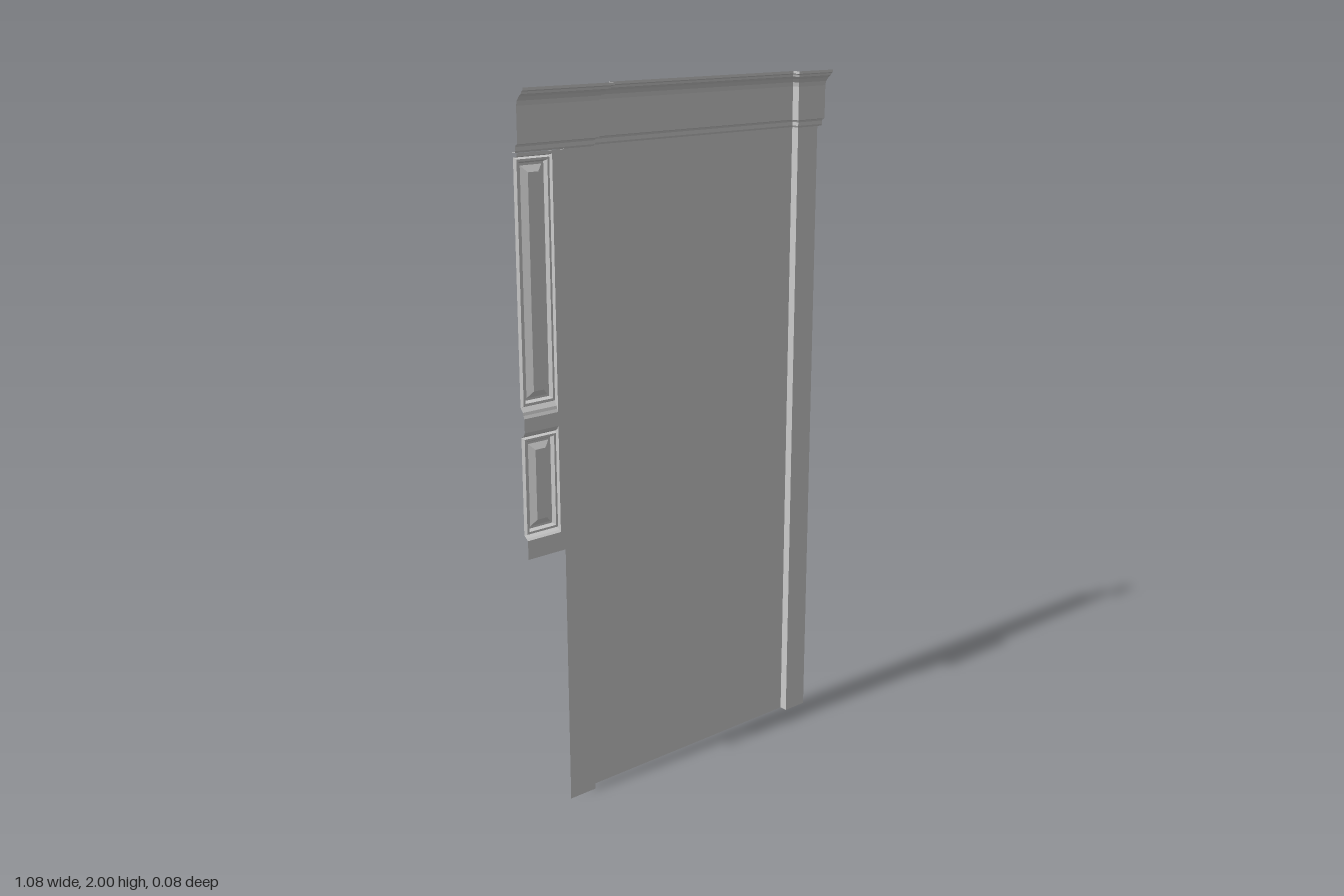
import * as THREE from 'three';

const material = new THREE.MeshStandardMaterial({ color: 0xcccccc, side: THREE.DoubleSide, flatShading: true });

// Flat-shaded sheet through rows of [x, y, z]; rows run left to right and stack upwards.
function loft(name, rows) {
  const n = rows[0].length, index = [];
  for (let r = 0; r < rows.length - 1; r++) {
    for (let i = 0; i < n - 1; i++) {
      const a = r * n + i, b = a + n;
      index.push(a, a + 1, b + 1, a, b + 1, b);
    }
  }
  const indexed = new THREE.BufferGeometry();
  indexed.setAttribute('position', new THREE.Float32BufferAttribute(rows.flat(2), 3));
  indexed.setIndex(index);
  const geometry = indexed.toNonIndexed();
  geometry.computeVertexNormals();
  const mesh = new THREE.Mesh(geometry, material);
  mesh.name = name;
  return mesh;
}

// Plan of the wall with its recessed centre, pushed forward by d with mitred corners.
const SIDE_Z = -0.02, CENTRE_Z = -0.044, EDGE = 0.538;
const plan = (start, y, d) => [
  [start, y, SIDE_Z + d], [-0.31 + d, y, SIDE_Z + d], [-0.31 + d, y, CENTRE_Z + d],
  [0.46 - d, y, CENTRE_Z + d], [0.46 - d, y, SIDE_Z + d], [EDGE, y, SIDE_Z + d],
];

// Horizontal strip with a [y, z] profile.
const strip = (name, x0, x1, profile) =>
  loft(name, profile.map(([y, z]) => [[x0, y, z], [x1, y, z]]));

// Raised-and-fielded panel made of concentric rectangles [inset, z].
function panel(name, x0, x1, y0, y1) {
  const group = new THREE.Group();
  group.name = name;
  const rings = [[0, -0.012], [0.004, -0.003], [0.010, -0.003], [0.015, -0.014], [0.021, -0.014], [0.038, -0.004]];
  group.add(loft(name + 'Moulding', rings.map(([s, z]) => [
    [x0 + s, y0 + s, z], [x1 - s, y0 + s, z], [x1 - s, y1 - s, z], [x0 + s, y1 - s, z], [x0 + s, y0 + s, z],
  ])));
  const [s, z] = rings[rings.length - 1];
  const field = new THREE.Mesh(new THREE.PlaneGeometry(x1 - x0 - 2 * s, y1 - y0 - 2 * s), material);
  field.position.set((x0 + x1) / 2, (y0 + y1) / 2, z);
  field.name = name + 'Field';
  group.add(field);
  return group;
}

export function createModel() {
  const model = new THREE.Group();
  model.name = 'wallSection';

  // Wall sheet with recessed centre
  model.add(loft('wall', [plan(-0.398, 0, 0), plan(-0.398, 1.84, 0)]));

  // Cornice: soffit, bead, frieze and flared crown
  const cornice = [
    [0, 1.84], [0.016, 1.84], [0.019, 1.845], [0.019, 1.855], [0.022, 1.86], [0.028, 1.862],
    [0.028, 1.955], [0.031, 1.967], [0.039, 1.977], [0.046, 1.983], [0.049, 1.984], [0.051, 1.99], [0.057, 1.993], [0.057, 2.0],
  ];
  model.add(loft('cornice', cornice.map(([d, y]) => plan(-EDGE, y, d))));

  // Panelled side section
  const side = new THREE.Group();
  side.name = 'sidePanelling';
  const left = -EDGE, inner = -0.43, outer = -0.388, front = 0.004, back = -0.012, bottom = 0.772;
  const stile = y => [[inner, y, back], [inner, y, front], [-0.394, y, front], [outer, y, front - 0.004], [outer, y, SIDE_Z]];
  side.add(loft('stile', [stile(bottom), stile(1.84)]));
  side.add(strip('bottomRail', left, inner, [[bottom, front], [0.825, front], [0.83, -0.002], [0.836, back]]));
  side.add(strip('middleRail', left, inner,
    [[1.106, back], [1.112, -0.002], [1.122, front], [1.16, front], [1.168, 0], [1.176, -0.002], [1.188, back]]));
  side.add(strip('topRail', left, inner, [[1.828, back], [1.832, front], [1.84, front]]));
  side.add(panel('lowerPanel', left, inner, 0.836, 1.106));
  side.add(panel('upperPanel', left, inner, 1.188, 1.828));
  model.add(side);

  return model;
}
